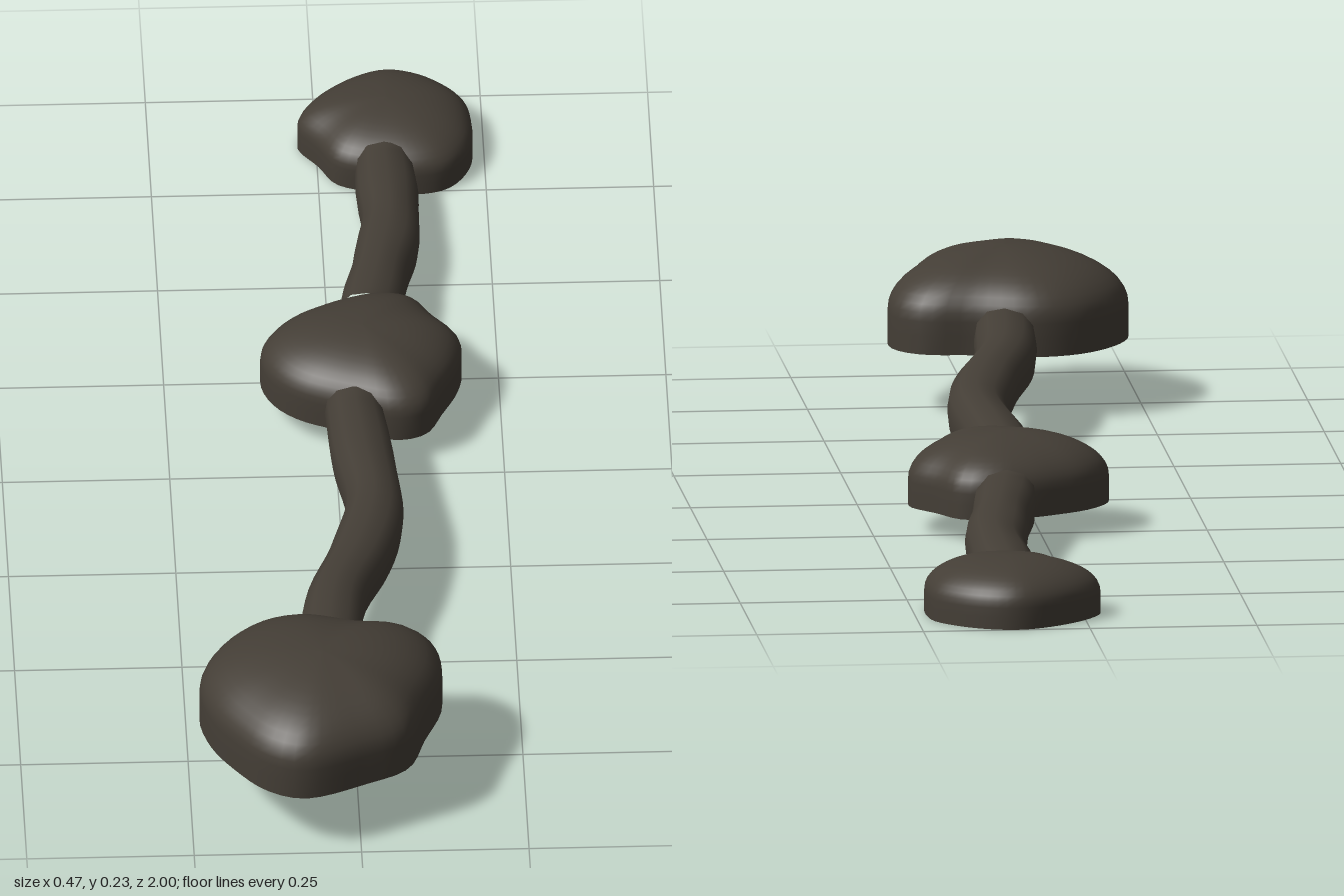
import * as THREE from 'three';

const darkStone = new THREE.MeshStandardMaterial({ color: 0x443e36 });
darkStone.name = 'dark stone';
const paleStone = new THREE.MeshStandardMaterial({ color: 0xffffff });
paleStone.name = 'pale stone';

// Skin a grid of rows of points; wrap joins the last column to the first,
// keep(k, m) picks the cells to build
function skin(rows, wrap, keep = () => true) {
  const n = rows[0].length, index = [];
  for (let k = 0; k < rows.length - 1; k++) {
    for (let m = 0; m < (wrap ? n : n - 1); m++) {
      if (!keep(k, m)) continue;
      const a = k * n + m, b = k * n + (m + 1) % n;
      index.push(a, a + n, b, b, a + n, b + n);
    }
  }
  const g = new THREE.BufferGeometry().setFromPoints(rows.flat());
  g.setIndex(index);
  g.computeVertexNormals();
  return g;
}

function addMesh(parent, name, geometry, material) {
  const mesh = new THREE.Mesh(geometry, material);
  mesh.name = name;
  parent.add(mesh);
}

// Repeatable speckle pattern for the stone bases
function isPaleSpeckle(k, m) {
  const v = Math.sin(k * 12.9898 + m * 78.233 + 1) * 43758.5453;
  return v - Math.floor(v) < 0.42;
}

// Domed stone: an irregular outline with an upright rim, rounded top and speckled base
function boulder(name, outline, [cx, cz], bottom, height) {
  const group = new THREE.Group();
  group.name = name;
  const curve = new THREE.CatmullRomCurve3(
    outline.map(([x, z]) => new THREE.Vector3(x, 0, z)), true);
  const ring = curve.getSpacedPoints(56).slice(0, 56);
  const at = (r, h) => ring.map(p => new THREE.Vector3(
    cx + (p.x - cx) * r, bottom + height * h, cz + (p.z - cz) * r));
  const rows = [at(1, 0), at(1, 0.2)];
  for (let i = 0; i <= 12; i++) {
    const t = (i / 12) * Math.PI / 2;
    rows.push(at(Math.cos(t), 0.36 + 0.64 * Math.sin(t) ** 0.92));
  }
  addMesh(group, name + 'Dome', skin(rows, true), darkStone);

  const base = [];
  for (let i = 0; i <= 12; i++) base.push(at(i / 12, 0));
  addMesh(group, name + 'Base', skin(base, true, (k, m) => !isPaleSpeckle(k, m)), darkStone);
  addMesh(group, name + 'BaseSpeckles', skin(base, true, isPaleSpeckle), paleStone);
  return group;
}

// Winding walkway: arched section swept along a path; pale flat underside with a dark patch
function walkway(name, path) {
  const group = new THREE.Group();
  group.name = name;
  const curve = new THREE.CatmullRomCurve3(path.map(p => new THREE.Vector3(...p)));
  const sweep = section => {
    const rows = [];
    for (let k = 0; k <= 24; k++) {
      const u = k / 24, p = curve.getPointAt(u), t = curve.getTangentAt(u);
      const side = new THREE.Vector3(-t.z, 0, t.x).normalize();
      const swell = 1 + 0.04 * Math.sin(u * 17);
      rows.push(section.map(([s, h]) => new THREE.Vector3(0, h, 0)
        .add(p).addScaledVector(side, s * swell)));
    }
    return rows;
  };
  const arch = [[0.042, 0], [0.045, 0.025], [0.041, 0.048], [0.026, 0.065], [0, 0.071],
    [-0.026, 0.065], [-0.041, 0.048], [-0.045, 0.025], [-0.042, 0]];
  addMesh(group, name + 'Arch', skin(sweep(arch), false), darkStone);

  const underside = sweep([[-0.042, 0], [-0.024, 0], [0.024, 0], [0.042, 0]]);
  const isPatch = (k, m) => m === 1 && k >= 3 && k <= 10;
  addMesh(group, name + 'Underside', skin(underside, false, (k, m) => !isPatch(k, m)), paleStone);
  addMesh(group, name + 'UndersidePatch', skin(underside, false, isPatch), darkStone);
  return group;
}

export function createModel() {
  const model = new THREE.Group();
  model.name = 'steppingStones';

  // Three stones descending from front to back
  model.add(boulder('frontStone', [
    [-0.148, 0.643], [-0.08, 0.625], [0.015, 0.65], [0.083, 0.66], [0.122, 0.7],
    [0.128, 0.77], [0.1, 0.85], [0.072, 0.925], [0.01, 0.962], [-0.085, 0.998],
    [-0.14, 0.975], [-0.185, 0.92], [-0.22, 0.855], [-0.234, 0.775], [-0.205, 0.7],
  ], [-0.05, 0.81], 0.097, 0.138));
  model.add(boulder('middleStone', [
    [0.032, -0.326], [0.08, -0.337], [0.127, -0.325], [0.158, -0.275], [0.192, -0.222],
    [0.187, -0.164], [0.16, -0.1], [0.135, -0.05], [0.095, -0.035], [0.03, -0.055],
    [-0.055, -0.095], [-0.095, -0.143], [-0.107, -0.206], [-0.073, -0.265], [-0.02, -0.302],
  ], [0.045, -0.185], 0.038, 0.108));
  model.add(boulder('backStone', [
    [0.11, -1], [0.17, -0.98], [0.222, -0.926], [0.232, -0.884], [0.228, -0.81],
    [0.195, -0.757], [0.15, -0.742], [0.085, -0.75], [0.028, -0.772], [0.002, -0.82],
    [-0.028, -0.873], [-0.005, -0.926], [0.055, -0.98],
  ], [0.105, -0.87], 0, 0.09));

  // Walkways joining the stones
  model.add(walkway('frontWalkway', [
    [-0.037, 0.1, 0.66], [-0.02, 0.087, 0.5], [0.02, 0.075, 0.37],
    [0.047, 0.064, 0.23], [0.037, 0.052, 0.08], [0.027, 0.042, -0.07],
  ]));
  model.add(walkway('backWalkway', [
    [0.058, 0.04, -0.32], [0.08, 0.03, -0.45], [0.1, 0.018, -0.58],
    [0.1, 0.009, -0.69], [0.098, 0.003, -0.775],
  ]));
  return model;
}
